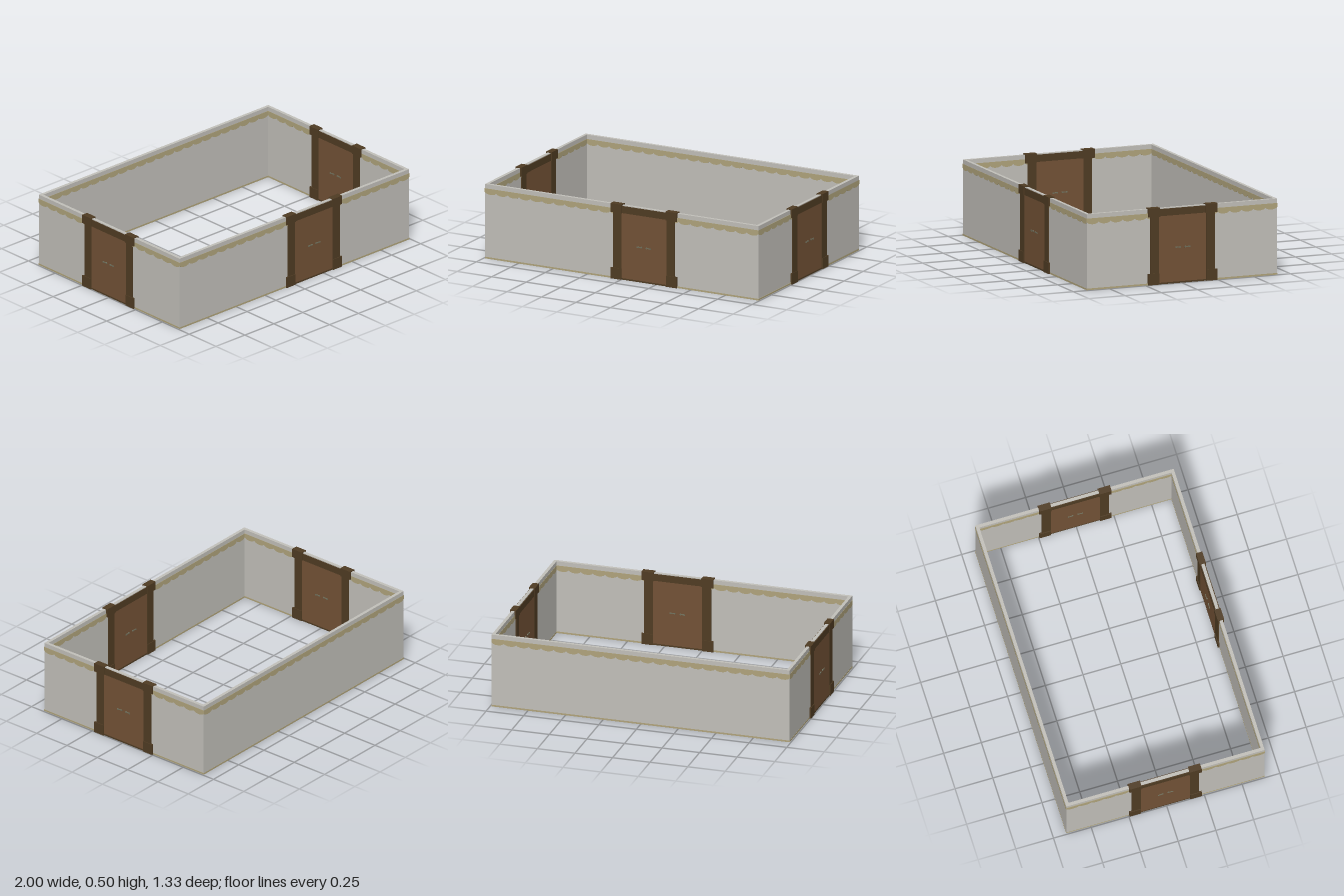
import * as THREE from 'three';

const material = (name, color) => Object.assign(new THREE.MeshStandardMaterial({ color }), { name });

export function createModel() {
  const plaster = material('pale grey plaster', 0xc2c0ba);
  const gold = material('dull gold trim', 0xb0a47c);
  const darkWood = material('dark frame wood', 0x503c23);
  const doorWood = material('brown door wood', 0x735236);
  const metal = material('grey green metal', 0x70705c);

  const T = 0.021;      // wall thickness
  const H = 0.491;      // wall height

  function box(parent, name, mat, size, pos) {
    const mesh = new THREE.Mesh(new THREE.BoxGeometry(...size), mat);
    mesh.name = name;
    mesh.position.set(...pos);
    parent.add(mesh);
    return mesh;
  }

  // Thin painted band with a scalloped lower edge
  function scallopBand(length) {
    const count = Math.round(length / 0.082);
    const step = length / count;
    const shape = new THREE.Shape();
    shape.moveTo(length / 2, 0.463);
    shape.lineTo(-length / 2, 0.463);
    shape.lineTo(-length / 2, 0.438);
    for (let i = 0; i < count; i++) {
      const x = -length / 2 + i * step;
      shape.bezierCurveTo(x + step * 0.15, 0.419, x + step * 0.85, 0.419, x + step, 0.438);
    }
    shape.closePath();
    return new THREE.ExtrudeGeometry(shape, { depth: 0.0015, bevelEnabled: false, curveSegments: 6 });
  }

  // Wall along local x, outside facing local +z
  function wall(name, length) {
    const group = new THREE.Group();
    group.name = name;
    box(group, 'wallPanel', plaster, [length, H, T], [0, H / 2, 0]);
    box(group, 'bottomTrim', gold, [length, 0.011, T + 0.002], [0, 0.0055, 0]);
    for (const side of [1, -1]) {
      const band = new THREE.Mesh(scallopBand(side > 0 ? length : length - 2 * T), gold);
      band.name = side > 0 ? 'outerBand' : 'innerBand';
      band.position.z = side * T / 2;
      if (side < 0) band.rotation.y = Math.PI;
      group.add(band);
    }
    return group;
  }

  // Double door in a heavy frame, the same on both faces
  function doorway() {
    const group = new THREE.Group();
    group.name = 'doorway';
    box(group, 'doorPanel', doorWood, [0.33, 0.432, 0.026], [0, 0.226, 0]);
    box(group, 'threshold', darkWood, [0.33, 0.01, 0.028], [0, 0.005, 0]);
    // Lintel stops just below the wall top
    for (const z of [1, -1]) box(group, 'lintel', darkWood, [0.33, 0.046, 0.006], [0, 0.463, z * 0.0125]);
    for (const side of [-1, 1]) {
      box(group, 'pillar', darkWood, [0.06, 0.44, 0.033], [side * 0.193, 0.22, 0]);
      box(group, 'pillarBase', darkWood, [0.076, 0.073, 0.042], [side * 0.201, 0.0365, 0]);
      box(group, 'pillarCap', darkWood, [0.08, 0.058, 0.042], [side * 0.199, 0.467, 0]);
      for (const z of [1, -1]) {
        // Lever handle with a round rose
        const rose = new THREE.Mesh(new THREE.CylinderGeometry(0.006, 0.006, 0.004, 12), metal);
        rose.name = 'handleRose';
        rose.rotation.x = Math.PI / 2;
        rose.position.set(side * 0.019, 0.231, z * 0.0145);
        group.add(rose);
        box(group, 'handleLever', metal, [0.036, 0.006, 0.004], [side * 0.032, 0.232, z * 0.0175]);
        box(group, 'handleTip', metal, [0.01, 0.009, 0.004], [side * 0.046, 0.231, z * 0.0175]);
      }
    }
    return group;
  }

  const model = new THREE.Group();
  model.name = 'walledEnclosure';
  const layout = [
    ['frontWall', 1.983, 0, 0.642, 0, 0.164],
    ['backWall', 1.983, 0, -0.652, Math.PI, null],
    ['leftWall', 1.315, 0.981, -0.005, Math.PI / 2, 0.002],
    ['rightWall', 1.315, -0.981, -0.005, -Math.PI / 2, -0.002],
  ];
  for (const [name, length, x, z, turn, doorAt] of layout) {
    const side = wall(name, length);
    side.position.set(x, 0, z);
    side.rotation.y = turn;
    if (doorAt !== null) {
      const door = doorway();
      door.position.x = doorAt;
      side.add(door);
    }
    model.add(side);
  }
  return model;
}
